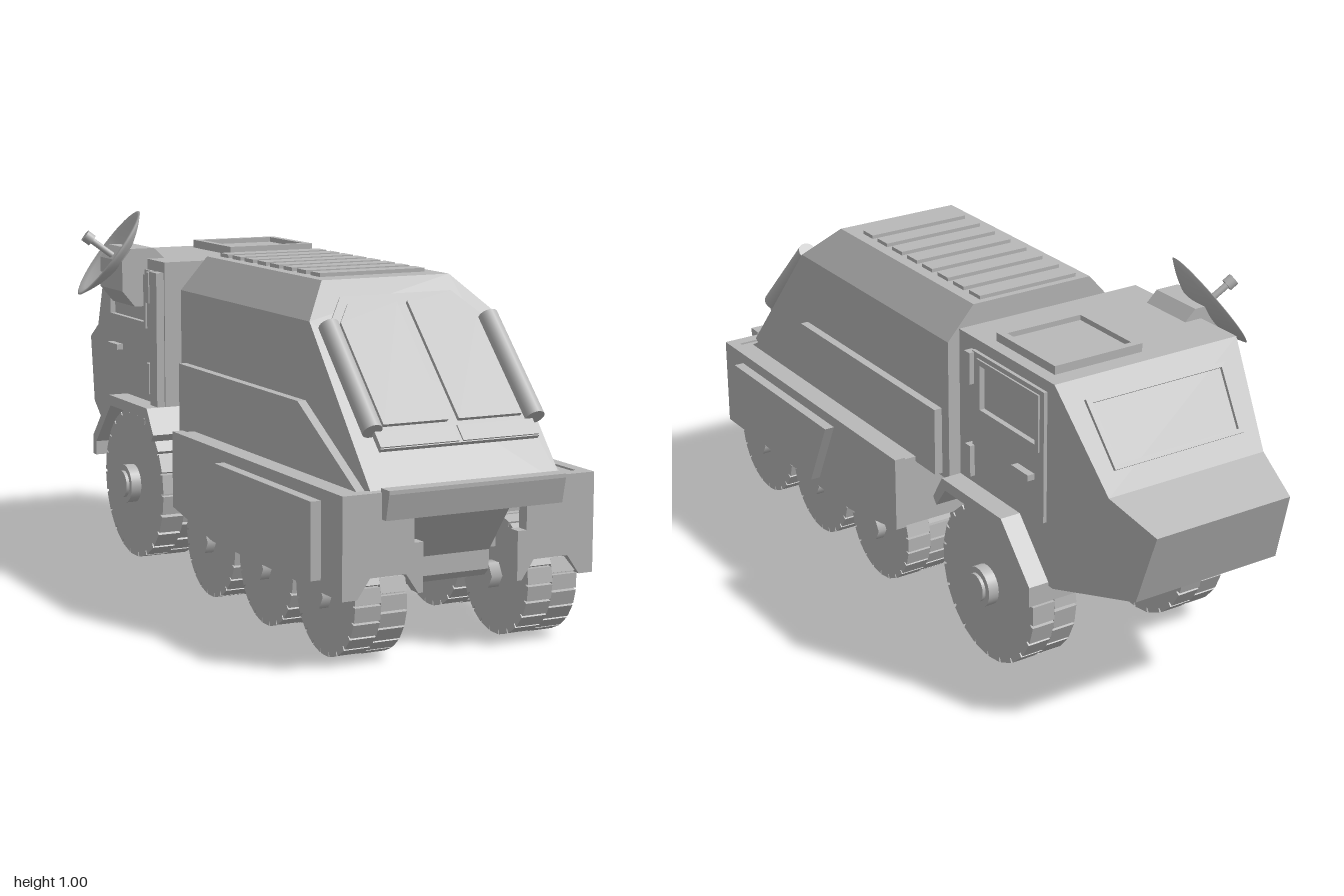
import * as THREE from 'three';
import { mergeGeometries } from 'three/addons/utils/BufferGeometryUtils.js';

const grey = new THREE.MeshStandardMaterial({ color: 0xb8b8b8 });
grey.name = 'hull grey';
const greyThin = grey.clone();
greyThin.side = THREE.DoubleSide;

function add(parent, name, geo, x = 0, y = 0, z = 0, mat = grey) {
  const m = new THREE.Mesh(geo, mat);
  m.name = name;
  m.position.set(x, y, z);
  parent.add(m);
  return m;
}

// box given by its min and max corners
function block(parent, name, x0, x1, y0, y1, z0, z1) {
  return add(parent, name, new THREE.BoxGeometry(x1 - x0, y1 - y0, z1 - z0),
    (x0 + x1) / 2, (y0 + y1) / 2, (z0 + z1) / 2);
}

const toPoints = (pts) => pts.map(([a, b]) => new THREE.Vector2(a, b));

// outline in x,y pushed along z
function plate(pts, depth, hole) {
  const s = new THREE.Shape(toPoints(pts));
  if (hole) s.holes.push(new THREE.Path(toPoints(hole)));
  return new THREE.ExtrudeGeometry(s, { depth, bevelEnabled: false });
}

// outline in z,y spanning x0..x1
function sidePlate(pts, x0, x1, hole) {
  return plate(pts, x1 - x0, hole).rotateY(-Math.PI / 2).translate(x1, 0, 0);
}

const rect = (a0, a1, b0, b1) => [[a0, b0], [a1, b0], [a1, b1], [a0, b1]];
const mirrorX = (pts) => [...pts, ...pts.map(([x, y]) => [-x, y]).reverse()];

function moveVertices(geo, rule) {
  const p = geo.attributes.position;
  const v = new THREE.Vector3();
  for (let i = 0; i < p.count; i++) {
    rule(v.fromBufferAttribute(p, i));
    p.setXYZ(i, v.x, v.y, v.z);
  }
  geo.computeVertexNormals();
  return geo;
}

// wheel with two staggered rows of tread blocks
function wheel(parent, name, side, z, r, inner, outer, hubR) {
  const g = new THREE.Group();
  g.name = name;
  g.position.set(0, r, z);
  parent.add(g);
  const w = outer - inner, mid = side * (inner + outer) / 2, core = r - 0.012;
  const drum = (rad, len, seg) => new THREE.CylinderGeometry(rad, rad, len, seg).rotateZ(Math.PI / 2);
  add(g, 'tyre', drum(core, w, 48), mid);
  const lugs = [], count = 22;
  for (let row = 0; row < 2; row++) {
    for (let i = 0; i < count; i++) {
      const b = new THREE.BoxGeometry(w * 0.5, 0.022, (2 * Math.PI * r / count) * 0.86);
      b.translate(mid + (row - 0.5) * w * 0.5, r - 0.012, 0);
      b.rotateX((i + row * 0.5) * 2 * Math.PI / count);
      lugs.push(b);
    }
  }
  add(g, 'tread', mergeGeometries(lugs));
  add(g, 'hub', drum(hubR, 0.338 - 0.14, hubR > 0.04 ? 28 : 6), side * 0.239);
  if (hubR > 0.04) add(g, 'hubCap', drum(hubR * 0.7, 0.02, 28), side * 0.337);
}

function buildContainer(v) {
  // chamfered body, front end cut at 45 degrees
  const body = plate(mirrorX([[0.265, 0.4], [0.265, 0.8], [0.185, 0.89]]), 1).translate(0, 0, -0.165);
  moveVertices(body, (p) => { if (p.z > 0) p.z = Math.min(1.42 - p.y, 0.965); });
  add(v, 'body', body);
  for (const s of [-1, 1]) {
    add(v, 'lowerSidePanel', sidePlate([[-0.13, 0.41], [0.94, 0.41], [0.6, 0.6], [-0.13, 0.6]],
      s > 0 ? 0.26 : -0.288, s > 0 ? 0.288 : -0.26));
  }
  for (let i = 0; i < 8; i++) {
    const z = -0.12 + i * 0.079;
    block(v, 'roofRib', -0.153, 0.153, 0.88, 0.9, z - 0.026, z + 0.026);
  }

  // double door lying on the sloped end
  const slope = new THREE.Group();
  slope.name = 'slopedDoors';
  slope.position.set(0, 0.46, 0.96);
  slope.rotation.x = -Math.PI / 4;
  v.add(slope);
  const up = (pts) => pts.map(([x, y]) => [x, (y - 0.46) * Math.SQRT2]);
  add(slope, 'doorFrame', plate(up(mirrorX([[0.223, 0.515], [0.223, 0.782], [0.16, 0.845]])), 0.012));
  for (const s of [-1, 1]) {
    const leaf = [[0.015, 0.56], [0.195, 0.56], [0.195, 0.782], [0.155, 0.822], [0.015, 0.822]];
    add(slope, 'doorLeaf', plate(up(leaf.map(([x, y]) => [s * x, y])), 0.022));
    const sill = rect(0.006, 0.223, 0.517, 0.55);
    add(slope, 'doorSill', plate(up(sill.map(([x, y]) => [s * x, y])), 0.016));
    const bar = new THREE.CylinderGeometry(0.026, 0.026, 0.325, 20);
    add(slope, 'doorBar', bar, s * 0.229, 0.29, 0.018);
  }
}

function buildChassis(v) {
  block(v, 'deck', -0.335, 0.335, 0.225, 0.425, -0.03, 0.8);
  block(v, 'upperDeck', -0.335, 0.335, 0.365, 0.425, 0.79, 0.95);
  add(v, 'belly', sidePlate([[-0.03, 0.155], [0.8, 0.155], [0.82, 0.175], [0.82, 0.225],
    [0.93, 0.37], [-0.03, 0.37]], -0.14, 0.14));
  for (const s of [-1, 1]) {
    add(v, 'skirt', sidePlate([[-0.03, 0.22], [0.23, 0.175], [0.965, 0.175], [0.965, 0.41],
      [0.95, 0.43], [-0.03, 0.43]], s > 0 ? 0.322 : -0.353, s > 0 ? 0.353 : -0.322));
    add(v, 'skirtPanel', sidePlate([[0.4, 0.205], [0.855, 0.205], [0.855, 0.4], [0.305, 0.4]],
      s > 0 ? 0.35 : -0.381, s > 0 ? 0.381 : -0.35));
    for (const z of [0.8, 0.47, 0.13]) wheel(v, 'smallWheel', s, z, 0.156, 0.171, 0.313, 0.036);
    wheel(v, 'bigWheel', s, -0.415, 0.215, 0.175, 0.308, 0.055);
  }
  // end wall with wheel arches and a central opening
  add(v, 'endWall', plate(mirrorX([[0.158, 0.365], [0.158, 0.3], [0.133, 0.3], [0.133, 0.175],
    [0.146, 0.175], [0.18, 0.225], [0.278, 0.225], [0.313, 0.175], [0.353, 0.175], [0.353, 0.43]]), 0.035),
  0, 0, 0.93);
  add(v, 'bumper', sidePlate([[0.96, 0.365], [0.985, 0.365], [1, 0.43], [1, 0.44], [0.96, 0.44]], -0.247, 0.247));
  // coupling to the cab
  block(v, 'neck', -0.13, 0.13, 0.22, 0.38, -0.42, 0);
  block(v, 'couplingBase', -0.225, 0.225, 0.38, 0.45, -0.27, 0);
  add(v, 'bigAxle', new THREE.CylinderGeometry(0.08, 0.08, 0.4, 12).rotateZ(Math.PI / 2), 0, 0.215, -0.415);
}

function buildCab(v) {
  add(v, 'cab', sidePlate([[-0.245, 0.455], [-0.245, 0.87], [-0.675, 0.87], [-0.675, 0.31],
    [-0.65, 0.31], [-0.52, 0.455]], -0.28, 0.28));
  // nose narrowing towards its tip
  const nose = sidePlate([[-0.675, 0.31], [-0.675, 0.87], [-0.85, 0.625], [-1, 0.57], [-0.94, 0.375]], -0.28, 0.28);
  moveVertices(nose, (p) => { p.x *= 1 - 0.268 * (-0.675 - p.z) / 0.325; });
  add(v, 'nose', nose);
  // fender strip across the cab
  add(v, 'fender', sidePlate([[-0.2, 0.39], [-0.245, 0.46], [-0.525, 0.46], [-0.655, 0.32], [-0.655, 0.265],
    [-0.63, 0.265], [-0.63, 0.305], [-0.515, 0.43], [-0.26, 0.43], [-0.215, 0.37]], -0.338, 0.338));

  // windscreen frame
  const screen = new THREE.Group();
  screen.name = 'windscreen';
  screen.position.set(0, 0.7475, -0.7625);
  screen.rotation.set(-0.62, Math.PI, 0, 'YXZ');
  v.add(screen);
  add(screen, 'windscreenFrame', plate([[-0.2, -0.09], [0.2, -0.09], [0.215, 0.095], [-0.215, 0.095]], 0.009,
    [[-0.185, -0.078], [0.185, -0.078], [0.199, 0.083], [-0.199, 0.083]]));

  // roof hatch
  block(v, 'roofHatch', -0.02, 0.245, 0.86, 0.879, -0.625, -0.365);
  add(v, 'hatchRim', plate(rect(-0.02, 0.245, 0.365, 0.625), 0.02, rect(0.0, 0.225, 0.385, 0.605))
    .rotateX(-Math.PI / 2), 0, 0.873, 0);

  // cab doors
  for (const s of [-1, 1]) {
    const span = (a, b) => (s > 0 ? [a, b] : [-b, -a]);
    add(v, 'cabDoor', sidePlate(rect(-0.645, -0.32, 0.485, 0.84), ...span(0.275, 0.29),
      rect(-0.62, -0.355, 0.68, 0.82)));
    add(v, 'windowFrame', sidePlate(rect(-0.627, -0.348, 0.673, 0.827), ...span(0.278, 0.295),
      rect(-0.612, -0.363, 0.69, 0.812)));
    for (const y of [0.75, 0.49]) block(v, 'hinge', ...span(0.275, 0.304), y, y + 0.087, -0.33, -0.305);
    block(v, 'doorHandle', ...span(0.285, 0.31), 0.59, 0.606, -0.605, -0.53);
  }
  block(v, 'rearPost', -0.303, -0.27, 0.46, 0.84, -0.3, -0.25);
}

function buildDish(v) {
  add(v, 'dishBracket', plate([[-0.33, 0.9], [-0.26, 0.9], [-0.22, 0.862], [-0.22, 0.735], [-0.32, 0.735],
    [-0.358, 0.78], [-0.358, 0.865]], 0.165), 0, 0, -0.53);
  const dish = new THREE.Group();
  dish.name = 'dish';
  dish.position.set(-0.358, 0.882, -0.465);
  dish.quaternion.setFromUnitVectors(new THREE.Vector3(0, 1, 0), new THREE.Vector3(-0.77, 0.6, -0.2).normalize());
  v.add(dish);
  const bowl = [];
  for (let i = 0; i <= 8; i++) bowl.push(new THREE.Vector2(0.148 * i / 8, 0.045 * ((i / 8) ** 2 - 1)));
  for (let i = 8; i >= 0; i--) bowl.push(new THREE.Vector2(0.14 * i / 8, 0.04 * ((i / 8) ** 2 - 1) + 0.003));
  add(dish, 'bowl', new THREE.LatheGeometry(bowl, 40), 0, 0, 0, greyThin);
  add(dish, 'feedRod', new THREE.CylinderGeometry(0.009, 0.009, 0.11, 14), 0, 0.015, 0);
  add(dish, 'feedTip', new THREE.CylinderGeometry(0.017, 0.017, 0.025, 18), 0, 0.072, 0);
}

export function createModel() {
  const model = new THREE.Group();
  model.name = 'vehicle';
  const v = new THREE.Group();
  v.name = 'vehicleParts';
  v.position.x = 0.033;
  model.add(v);
  buildContainer(v);
  buildChassis(v);
  buildCab(v);
  buildDish(v);
  return model;
}
